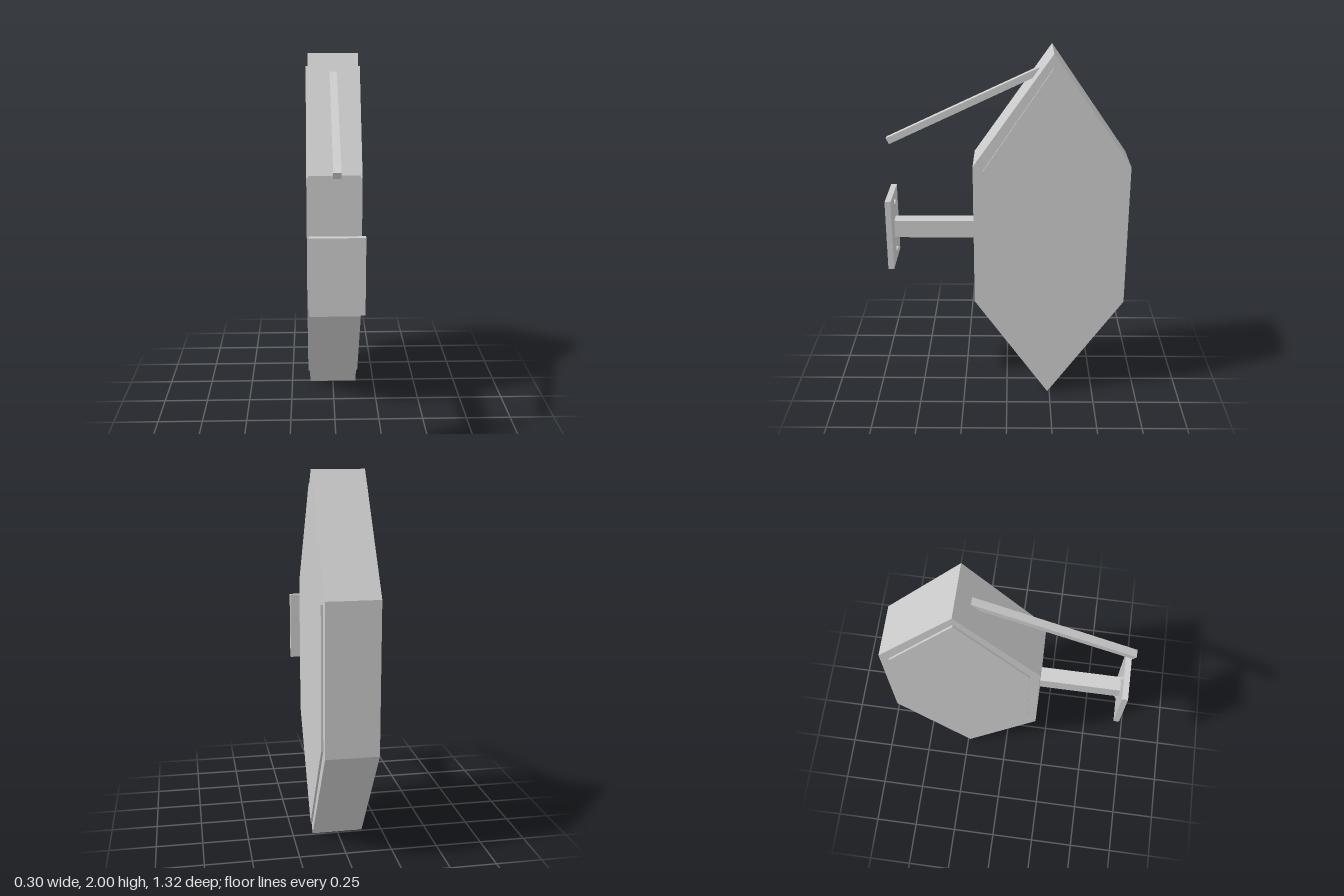
import * as THREE from 'three';

export function createModel() {
  const model = new THREE.Group();
  const grey = new THREE.MeshStandardMaterial({ color: 0xcccccc });
  grey.name = 'light grey';

  const add = (name, geometry, x, y, z) => {
    const mesh = new THREE.Mesh(geometry, grey);
    mesh.name = name;
    mesh.position.set(x, y, z);
    model.add(mesh);
    return mesh;
  };

  // Tall hexagon in the z-y plane, extruded along x about its middle
  const hexSlab = (halfDepth, halfHeight, shoulder, width) => {
    const shape = new THREE.Shape([
      [0, -halfHeight], [halfDepth, -shoulder], [halfDepth, shoulder],
      [0, halfHeight], [-halfDepth, shoulder], [-halfDepth, -shoulder],
    ].map(([z, y]) => new THREE.Vector2(z, y)));
    return new THREE.ExtrudeGeometry(shape, { depth: width, bevelEnabled: false })
      .translate(0, 0, -width / 2)
      .rotateY(-Math.PI / 2);
  };

  // Sign case with a raised panel on each side
  add('signCase', hexSlab(0.42, 2 / 2, 0.4, 0.28), 0, 1, -0.238);
  for (const side of [-1, 1]) {
    add(side > 0 ? 'leftPanel' : 'rightPanel',
      hexSlab(0.368, 0.93, 0.376, 0.012), side * 0.145, 1, -0.238);
  }

  // Wall bracket
  add('bracketArm', new THREE.BoxGeometry(0.08, 0.1, 0.46), 0, 1, 0.4);
  add('wallPlate', new THREE.BoxGeometry(0.28, 0.4, 0.032), 0, 1, 0.643);
  for (const side of [-1, 1]) {
    const screw = new THREE.CylinderGeometry(0.018, 0.018, 0.012, 16).rotateX(Math.PI / 2);
    add(side > 0 ? 'upperScrew' : 'lowerScrew', screw, 0, 1 + side * 0.141, 0.623);
  }

  // Slanted brace running from the wall up into the top of the case
  const tilt = 0.439;
  const length = 0.92;
  const brace = add('topBrace', new THREE.BoxGeometry(0.04, 0.036, length), 0,
    1.504 + Math.sin(tilt) * length / 2, 0.643 - Math.cos(tilt) * length / 2);
  brace.rotation.x = tilt;

  return model;
}
